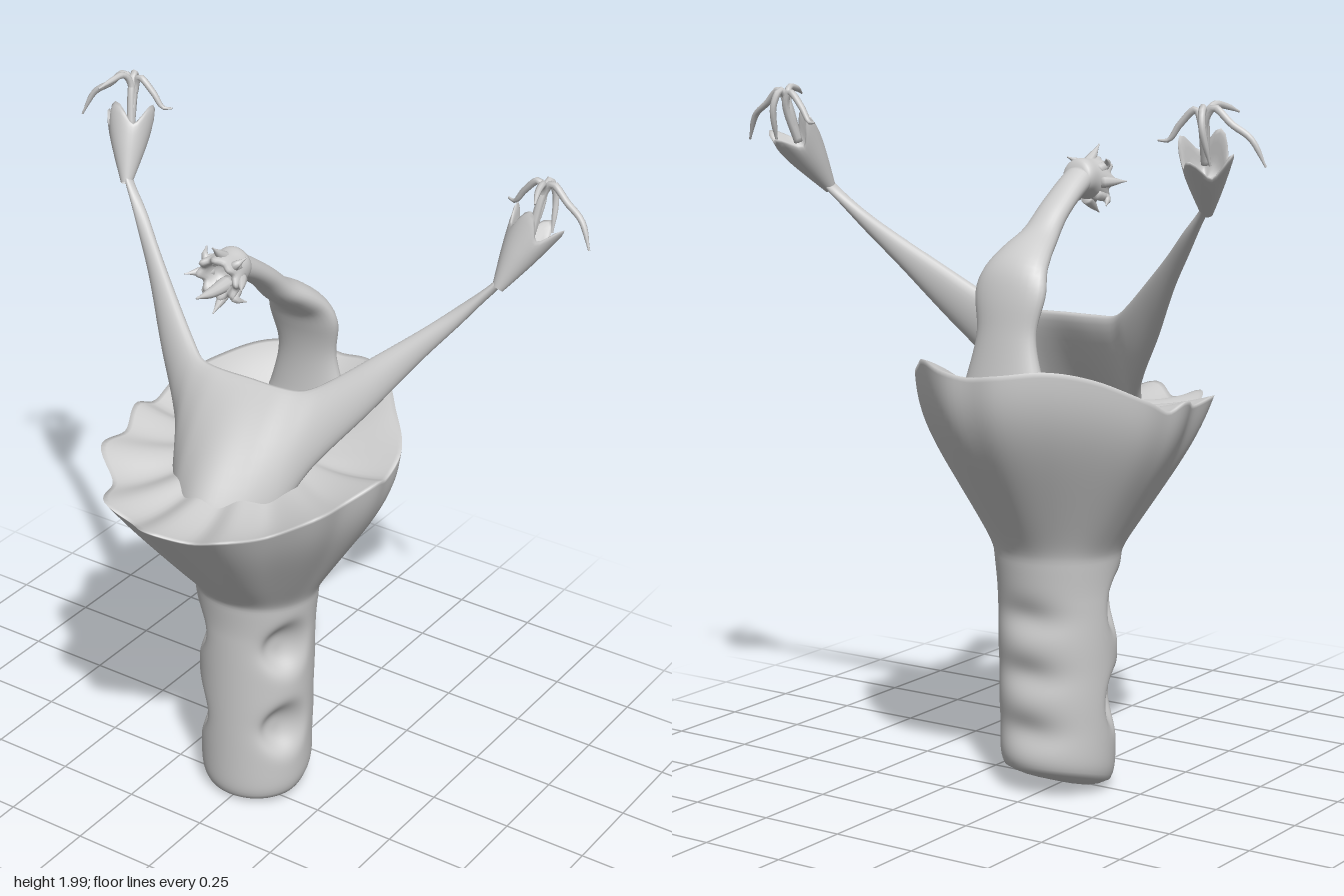
import * as THREE from 'three';

const V = (x, y, z) => new THREE.Vector3(x, y, z);
const { lerp, clamp, smoothstep } = THREE.MathUtils;
const material = new THREE.MeshStandardMaterial({ color: 0xcccccc, side: THREE.DoubleSide });

// Smooth interpolation through rows of [t, a, b, ...]
function track(keys, t) {
  let i = 0;
  while (i < keys.length - 2 && t > keys[i + 1][0]) i++;
  const [k0, k1] = [keys[i], keys[i + 1]];
  const d = k1[0] - k0[0], s = clamp((t - k0[0]) / d, 0, 1);
  const slope = (n, c) => (n <= 0 || n >= keys.length - 1) ? 0
    : (keys[n + 1][c] - keys[n - 1][c]) / (keys[n + 1][0] - keys[n - 1][0]);
  return k0.slice(1).map((a, n) => {
    const c = n + 1, s2 = s * s, s3 = s2 * s;
    return a * (2 * s3 - 3 * s2 + 1) + k1[c] * (3 * s2 - 2 * s3)
      + d * (slope(i, c) * (s3 - 2 * s2 + s) + slope(i + 1, c) * (s3 - s2));
  });
}

// Closed rings joined into a smooth skin; f(angle, row) gives a point
function skin(nu, nv, f) {
  const pos = [], idx = [];
  for (let j = 0; j <= nv; j++) {
    for (let i = 0; i < nu; i++) {
      pos.push(...f(i / nu * Math.PI * 2, j).toArray());
      if (j === nv) continue;
      const k = (i + 1) % nu, a = j * nu + i, b = j * nu + k;
      idx.push(a, b, b + nu, a, b + nu, a + nu);
    }
  }
  const g = new THREE.BufferGeometry();
  g.setAttribute('position', new THREE.Float32BufferAttribute(pos, 3));
  g.setIndex(idx);
  g.computeVertexNormals();
  return g;
}

function add(parent, name, geometry) {
  const m = new THREE.Mesh(geometry, material);
  m.name = name;
  parent.add(m);
}

// Tapered tube along points; radii rows are [t, wide, deep]
function sweep(points, radii, n = 24, nu = 12) {
  const curve = new THREE.CatmullRomCurve3(points);
  const { normals, binormals } = curve.computeFrenetFrames(n, false);
  return skin(nu, n + 2, (u, j) => {
    const k = clamp(j - 1, 0, n), open = j > 0 && j < n + 2 ? 1 : 0;
    const [a, b] = track(radii, k / n);
    return curve.getPointAt(k / n)
      .addScaledVector(normals[k], a * Math.cos(u) * open)
      .addScaledVector(binormals[k], b * Math.sin(u) * open);
  });
}

// Hollow flared cup with petal tips; profile rows are [row, radius, height, petal reach]
function flare(from, to, profile, petals) {
  const dir = to.clone().sub(from), len = dir.length();
  const q = new THREE.Quaternion().setFromUnitVectors(V(0, 1, 0), dir.normalize());
  return skin(petals * 8, 24, (u, j) => {
    const [r, h, p] = track(profile, j / 24);
    const c = Math.cos(petals * u), rad = r * (1 + p * c);
    return V(Math.sin(u) * rad, len * (h + p * c), Math.cos(u) * rad).applyQuaternion(q).add(from);
  });
}

// Rim of the cup: [degrees from front, radius, height]
const RIM = [[0, .478, 1.11], [13, .43, 1.08], [25, .455, 1.11], [43, .385, 1.09], [61, .415, 1.14],
  [78, .378, 1.13], [94, .412, 1.16], [104, .41, 1.14], [116, .43, 1.18], [135, .42, 1.24],
  [153, .448, 1.27], [170, .485, 1.26], [180, .48, 1.25]];

// Handle outline with finger dents in the sides and back
function handlePoint(u, y) {
  const back = (1 - Math.cos(u)) / 2, w = lerp(.165, .178, y / .7) + .008 * smoothstep(y, .58, .74);
  let x = Math.sin(u) * w;
  let z = -.045 + Math.cos(u) * (lerp(.155, .166, back) + .012 * smoothstep(y, .58, .74));
  let dent = 0;
  for (const cy of [.27, .55])
    dent += .05 * Math.exp(-Math.pow(((y - cy) / .075) ** 2 + ((z - .02) / .055) ** 2, 1.5));
  if (z > -.12) x -= Math.sign(x) * Math.min(dent, Math.abs(x));
  if (back > .5) for (const cy of [.2, .365, .53])
    z += .022 * Math.exp(-(((y - cy) / .05) ** 2) - (x / .1) ** 2);
  return V(x, y, z);
}

function bodyGeometry() {
  const B = 5, H = 60, C = 40, I = 30, top = .69;
  return skin(144, B + H + C + I, (u, j) => {
    if (j <= B + H) {
      // tilted foot, then the shaft
      const s = Math.max(0, j - B) / H;
      const k = j < B ? .92 * j / B : 1 - .08 * Math.exp(-s * 40);
      const z0 = -.045 + .155 * Math.cos(u) * k;
      const foot = .008 + (z0 < 0 ? .085 * Math.pow(-z0 / .2, 1.5) : .02 * (z0 / .11) ** 2)
        + .04 * Math.sin(u) ** 2 * k ** 4;
      const p = handlePoint(u, lerp(foot, top, s));
      return V(p.x * k, p.y, -.045 + (p.z + .045) * k);
    }
    const [R, y] = track(RIM, THREE.MathUtils.radToDeg(Math.min(u, Math.PI * 2 - u)));
    const rim = V(Math.sin(u) * R, y, Math.cos(u) * R);
    if (j <= B + H + C) {
      // outside of the cup, fuller at the sides and back
      const s = (j - B - H) / C, base = handlePoint(u, top), full = Math.pow((1 - Math.cos(u)) / 2, .7);
      const h = (1 - Math.exp(-s * 13)) * lerp(Math.pow(s, 1.05), s + .18 * Math.sin(Math.PI * Math.pow(s, 1.8)), full);
      return V(lerp(base.x, rim.x, h), lerp(top, rim.y, s), lerp(base.z, rim.z, h));
    }
    // shallow inside of the cup
    const q = (j - B - H - C) / I;
    return V(lerp(rim.x, 0, q), lerp(rim.y, 1.16, smoothstep(q, 0, .8)) - .035 * Math.sin(Math.PI * q),
      lerp(rim.z, -.08, q));
  });
}

// Web and arms, section by section: [|x|, top y, top z, bottom y, bottom z, half thickness]
const ARMS = [[0, 1.37, -.01, 1.02, .27, .036], [.1, 1.37, -.01, 1.02, .21, .037], [.17, 1.375, -.022, 1.05, .12, .037],
  [.22, 1.4, -.05, 1.16, .03, .037], [.35, 1.5, -.13, 1.34, -.08, .031], [.45, 1.58, -.195, 1.485, -.165, .024],
  [.53, 1.65, -.25, 1.59, -.22, .02], [.6, 1.715, -.285, 1.685, -.265, .018], [.635, 1.76, -.305, 1.72, -.285, .02]];

function armsGeometry() {
  const n = 80;
  return skin(28, n + 2, (u, j) => {
    const x = lerp(-.635, .635, clamp((j - 1) / n, 0, 1));
    const [ty, tz, by, bz, w] = track(ARMS, Math.abs(x));
    const m = V(0, ty - by, tz - bz).multiplyScalar(.5), l = m.length();
    const open = j > 0 && j < n + 2 ? 1 : 0;
    const c = Math.cos(u) * open, s = Math.sin(u) * w / l * open;
    return V(x, (ty + by) / 2 + m.y * c - m.z * s, (tz + bz) / 2 + m.z * c + m.y * s);
  });
}

export function createModel() {
  const root = new THREE.Group();
  root.name = 'flowerHandleCreature';
  add(root, 'handleAndCup', bodyGeometry());
  add(root, 'websAndArms', armsGeometry());

  // Hands with drooping tendrils
  const HAND = [[0, .016, 0, 0], [.2, .034, .25, 0], [.4, .052, .52, .02], [.6, .07, .85, .13],
    [.66, .062, .84, .13], [.8, .035, .6, .04], [1, 0, .5, 0]];
  const TENDRILS = [
    [[.66, 1.84, -.36], [.675, 1.95, -.39], [.7, 1.985, -.39], [.75, 1.945, -.385], [.8, 1.91, -.375], [.835, 1.84, -.36]],
    [[.66, 1.84, -.36], [.67, 1.95, -.4], [.655, 1.98, -.4], [.61, 1.94, -.405], [.58, 1.9, -.41], [.555, 1.9, -.42]],
    [[.66, 1.84, -.36], [.675, 1.96, -.385], [.685, 1.99, -.365], [.695, 1.985, -.32], [.71, 1.97, -.28]],
    [[.66, 1.84, -.36], [.675, 1.96, -.39], [.68, 1.985, -.41], [.69, 1.94, -.43], [.7, 1.84, -.405]]];
  for (const s of [1, -1]) {
    const hand = new THREE.Group();
    hand.name = s > 0 ? 'leftHand' : 'rightHand';
    root.add(hand);
    add(hand, 'palm', flare(V(.615 * s, 1.705, -.275), V(.675 * s, 1.89, -.385), HAND, 4));
    for (const t of TENDRILS)
      add(hand, 'tendril', sweep(t.map(([x, y, z]) => V(x * s, y, z)),
        [[0, .012, .012], [.5, .01, .01], [.85, .008, .008], [1, .003, .003]], 24, 8));
  }

  // Curved neck rising from the back of the cup
  add(root, 'neck', sweep([V(0, 1.12, -.305), V(0, 1.22, -.305), V(0, 1.34, -.297), V(0, 1.44, -.28), V(0, 1.505, -.255),
    V(0, 1.55, -.205), V(0, 1.592, -.14), V(0, 1.655, -.07), V(0, 1.705, 0), V(0, 1.745, .07)],
  [[0, .16, .07], [.12, .125, .05], [.28, .095, .037], [.43, .112, .04], [.54, .09, .042],
    [.7, .055, .036], [.85, .047, .032], [1, .045, .036]], 48, 28));

  // Open-mouthed head ringed with spikes
  const head = new THREE.Group();
  head.name = 'head';
  root.add(head);
  add(head, 'mouth', flare(V(0, 1.75, .04), V(0, 1.725, .16),
    [[0, 0, 0, 0], [.12, .042, .05, 0], [.4, .055, .45, 0], [.6, .064, .85, .06], [.7, .048, .85, .04], [.85, .03, .5, 0], [1, 0, .4, 0]], 8));
  for (let k = 0; k < 8; k++) {
    const a = k * Math.PI / 4, reach = k ? .092 : .1;
    const at = (r, z) => V(Math.sin(a) * r, 1.728 + Math.cos(a) * r, z);
    add(head, 'spike', sweep([at(.045, .1), at(.068, .13), at(reach, k % 2 ? .1 : .165)],
      [[0, .018, .018], [.5, .012, .012], [1, .002, .002]], 8, 8));
  }
  add(head, 'tongue', sweep([V(0, 1.7, .09), V(0, 1.7, .17), V(0, 1.71, .238)],
    [[0, .022, .02], [.6, .014, .013], [1, .003, .003]], 10, 10));
  return root;
}
